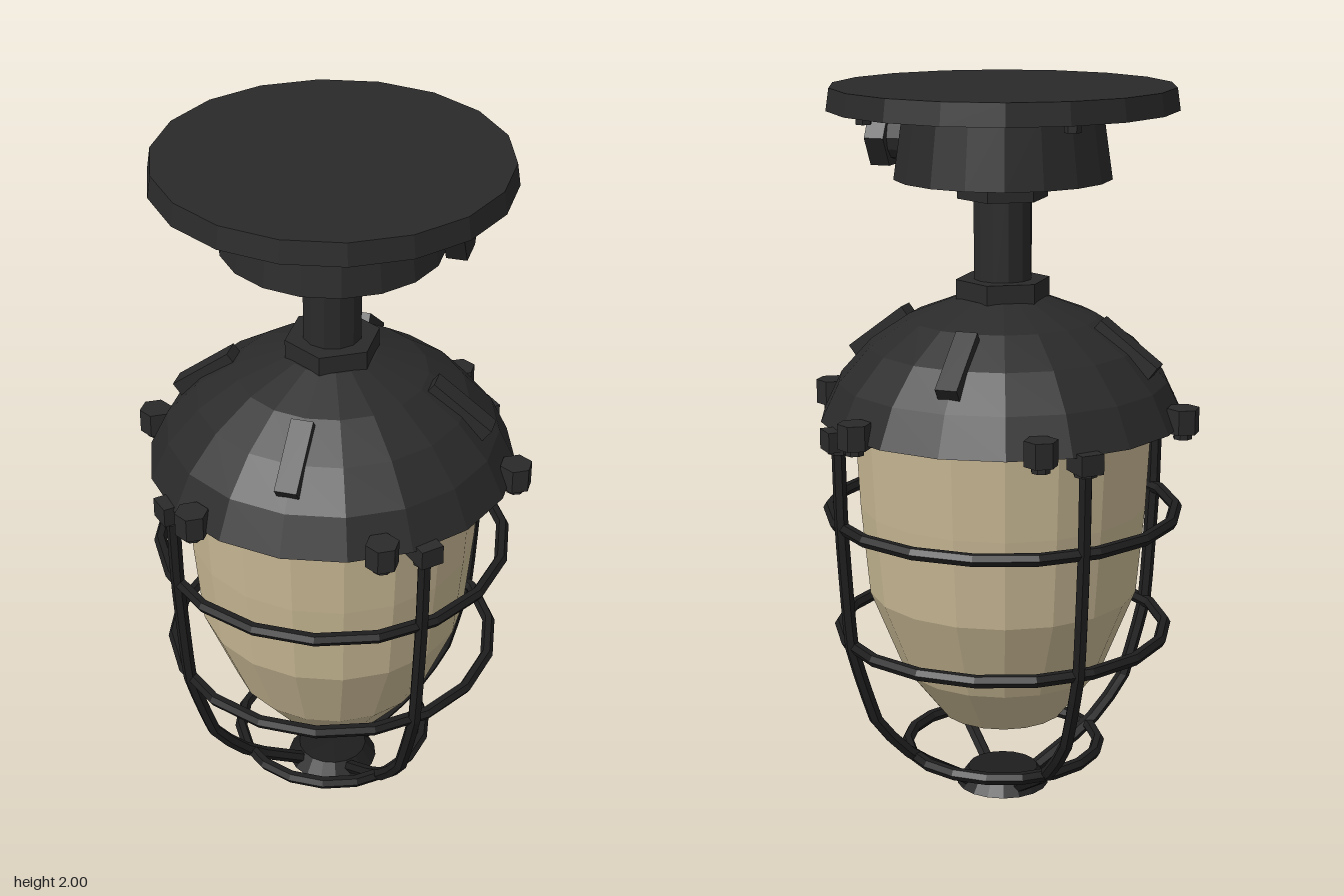
import * as THREE from 'three';

const paint = (name, color, side = THREE.FrontSide) => {
  const m = new THREE.MeshStandardMaterial({ color, flatShading: true, side });
  m.name = name;
  return m;
};

export function createModel() {
  const body = paint('dark metal', 0x2a2a2a);
  const wire = paint('cage metal', 0x1e1e1f);
  const glass = paint('warm glass', 0xc8b894, THREE.DoubleSide);
  const SIDES = 18;

  const root = new THREE.Group();
  root.name = 'bulkheadLamp';

  const add = (name, geometry, material, x = 0, y = 0, z = 0, parent = root) => {
    const mesh = new THREE.Mesh(geometry, material);
    mesh.name = name;
    mesh.position.set(x, y, z);
    parent.add(mesh);
    return mesh;
  };
  const lathe = (points) =>
    new THREE.LatheGeometry(points.map(([r, y]) => new THREE.Vector2(r, y)), SIDES);
  const drum = (rTop, rBottom, y0, y1, sides) =>
    new THREE.CylinderGeometry(rTop, rBottom, y1 - y0, sides).translate(0, (y0 + y1) / 2, 0);
  // Group turned about the vertical axis; its local +z points outwards
  const spoke = (name, angle) => {
    const g = new THREE.Group();
    g.name = name;
    g.rotation.y = angle;
    root.add(g);
    return g;
  };

  // Ceiling mount
  add('ceilingPlate', drum(0.465, 0.474, 1.94, 2, SIDES), body);
  add('canopy', drum(0.27, 0.297, 1.755, 1.94, SIDES), body);
  add('upperNut', drum(0.125, 0.125, 1.7, 1.76, 6), body);
  add('stem', drum(0.08, 0.08, 1.4, 1.76, 12), body);
  add('lowerNut', drum(0.13, 0.13, 1.41, 1.48, 6), body);
  for (let i = 0; i < 4; i++) {
    const g = spoke('plateScrew', Math.PI / 4 + i * Math.PI / 2);
    add('screwHead', drum(0.022, 0.022, 1.915, 1.945, 6), body, 0, 0, 0.4, g);
  }

  // Cable entry on the side of the canopy
  const gland = new THREE.Group();
  gland.name = 'cableGland';
  gland.position.set(0, 1.855, 0);
  gland.rotation.z = -Math.PI / 2;
  root.add(gland);
  add('glandNeck', drum(0.065, 0.065, 0.24, 0.33, 12), body, 0, 0, 0, gland);
  add('glandNut', drum(0.09, 0.09, 0.31, 0.365, 6), body, 0, 0, 0, gland);

  // Domed hood, closed underneath
  add('hood', lathe([[0, 1.1], [0.505, 1.1], [0.455, 1.205], [0.37, 1.3],
    [0.26, 1.375], [0.12, 1.43], [0, 1.43]]), body);

  // Cooling ribs on the hood
  for (let i = 0; i < 4; i++) {
    const g = spoke('hoodRib', i * Math.PI / 2);
    const rib = add('rib', new THREE.BoxGeometry(0.06, 0.05, 0.2), body, 0, 1.307, 0.352, g);
    rib.rotation.x = 0.65;
  }

  // Hex bolts around the rim, all turned the same way
  for (let i = 0; i < 6; i++) {
    const a = i * Math.PI / 3, x = 0.513 * Math.cos(a), z = 0.513 * Math.sin(a);
    add('rimBolt', drum(0.045, 0.045, 1.09, 1.158, 6), body, x, 0, z);
    add('rimBoltTip', drum(0.026, 0.026, 1.073, 1.09, 8), body, x, 0, z);
  }

  // Glass globe
  add('globe', lathe([[0, 0.175], [0.175, 0.23], [0.285, 0.37], [0.377, 0.6],
    [0.4, 0.85], [0.413, 1.1]]), glass);

  // Guard cage: four bent bars with their lugs
  const path = [[0.49, 1.1], [0.485, 0.83], [0.462, 0.485], [0.39, 0.25], [0.275, 0.125], [0.1, 0.02]]
    .map(([r, y]) => new THREE.Vector3(0, y, r));
  const barCurve = new THREE.CatmullRomCurve3(path, false, 'catmullrom', 0.15);
  const barGeometry = new THREE.TubeGeometry(barCurve, 16, 0.019, 6);
  for (let i = 0; i < 4; i++) {
    const g = spoke('cageArm', Math.PI / 4 + i * Math.PI / 2);
    add('cageBar', barGeometry, wire, 0, 0, 0, g);
    add('cageLug', new THREE.BoxGeometry(0.065, 0.055, 0.085), body, 0, 1.082, 0.486, g);
    add('cageSocket', drum(0.032, 0.032, 1.045, 1.07, 8), body, 0, 0, 0.488, g);
  }

  // Cage hoops and bottom boss
  for (const [r, y] of [[0.485, 0.83], [0.46, 0.485], [0.275, 0.125]]) {
    add('cageHoop', new THREE.TorusGeometry(r, 0.018, 6, SIDES).rotateX(Math.PI / 2), wire, 0, y);
  }
  add('cageBoss', drum(0.1, 0.132, 0, 0.045, SIDES), wire);

  return root;
}
